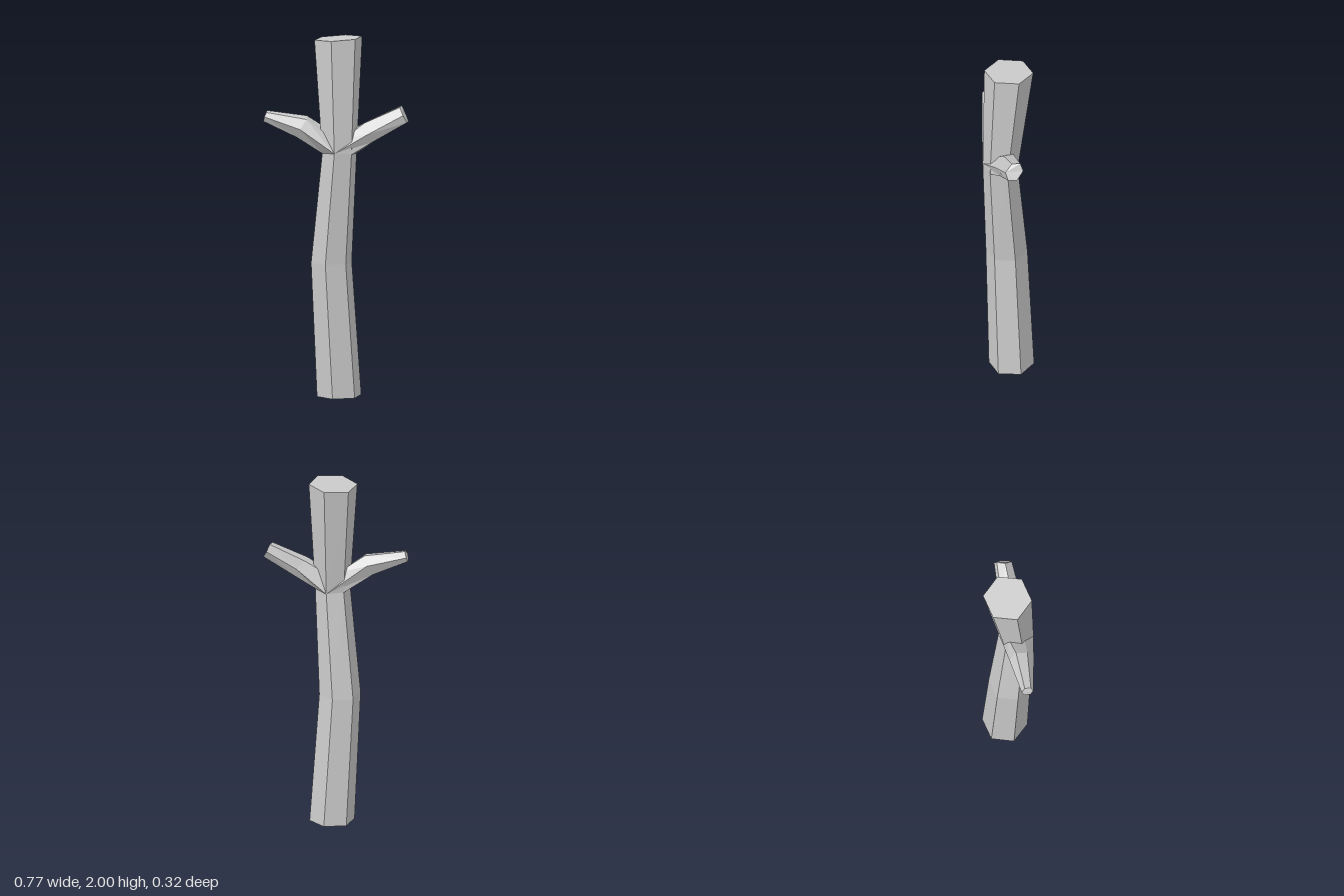
import * as THREE from 'three';

const material = new THREE.MeshStandardMaterial({ color: 0xcccccc, flatShading: true });

// Skins a list of equal-sized rings (counter-clockwise seen from the far end) and caps both ends.
function loft(name, rings) {
  const positions = [];
  const tri = (...points) => points.forEach((p) => positions.push(...p));
  const n = rings[0].length;
  for (let r = 0; r < rings.length - 1; r++) {
    const a = rings[r], b = rings[r + 1];
    for (let i = 0; i < n; i++) {
      const j = (i + 1) % n;
      tri(a[i], a[j], b[j]);
      tri(a[i], b[j], b[i]);
    }
  }
  const first = rings[0], last = rings[rings.length - 1];
  for (let i = 1; i < n - 1; i++) {
    tri(first[0], first[i + 1], first[i]);
    tri(last[0], last[i], last[i + 1]);
  }
  const geometry = new THREE.BufferGeometry();
  geometry.setAttribute('position', new THREE.Float32BufferAttribute(positions, 3));
  geometry.computeVertexNormals();
  const mesh = new THREE.Mesh(geometry, material);
  mesh.name = name;
  return mesh;
}

// Hexagonal trunk ring with one corner facing the front, slightly tilted.
function trunkRing([x, y, z, radius, tiltX, tiltZ]) {
  return Array.from({ length: 6 }, (_, i) => {
    const a = (i * Math.PI) / 3;
    const dx = Math.sin(a) * radius, dz = Math.cos(a) * radius;
    return [x + dx, y + dx * tiltX + dz * tiltZ, z + dz];
  });
}

export function createModel() {
  const group = new THREE.Group();
  group.name = 'tree';

  // Bent trunk: narrow at the fork, flaring to the cut top
  const trunk = [
    [0, 0.006, -0.035, 0.125, 0, -0.03],
    [-0.035, 0.75, -0.005, 0.115, 0, 0],
    [0.02, 1.362, 0.025, 0.097, 0, 0.08],
    [0, 1.993, -0.02, 0.135, 0.06, 0],
  ];
  group.add(loft('trunk', trunk.map(trunkRing)));

  // Left branch: front, two lower, back and two upper corners per ring
  group.add(loft('leftBranch', [
    [[0.02, 1.37, 0.122], [0.104, 1.362, 0.073], [0.104, 1.358, -0.024],
      [0.02, 1.354, -0.072], [0.06, 1.48, -0.05], [0.06, 1.45, 0.05]],
    [[0.19, 1.475, 0.04], [0.2, 1.425, 0.01], [0.2, 1.425, -0.06],
      [0.19, 1.485, -0.09], [0.15, 1.53, -0.065], [0.155, 1.53, -0.005]],
    [[0.367, 1.575, -0.035], [0.385, 1.535, -0.052], [0.38, 1.535, -0.1],
      [0.35, 1.58, -0.132], [0.337, 1.62, -0.115], [0.338, 1.615, -0.068]],
  ]));

  // Right branch: front, two upper, back and two lower corners per ring
  group.add(loft('rightBranch', [
    [[0.02, 1.37, 0.122], [-0.03, 1.46, 0.075], [-0.03, 1.47, -0.02],
      [0.02, 1.354, -0.072], [-0.064, 1.358, -0.024], [-0.064, 1.362, 0.073]],
    [[-0.17, 1.5, 0.144], [-0.145, 1.552, 0.105], [-0.16, 1.565, 0.045],
      [-0.187, 1.52, 0.01], [-0.205, 1.457, 0.05], [-0.197, 1.45, 0.11]],
    [[-0.37, 1.565, 0.162], [-0.362, 1.588, 0.148], [-0.37, 1.595, 0.115],
      [-0.385, 1.565, 0.1], [-0.388, 1.538, 0.115], [-0.38, 1.538, 0.148]],
  ]));

  return group;
}
